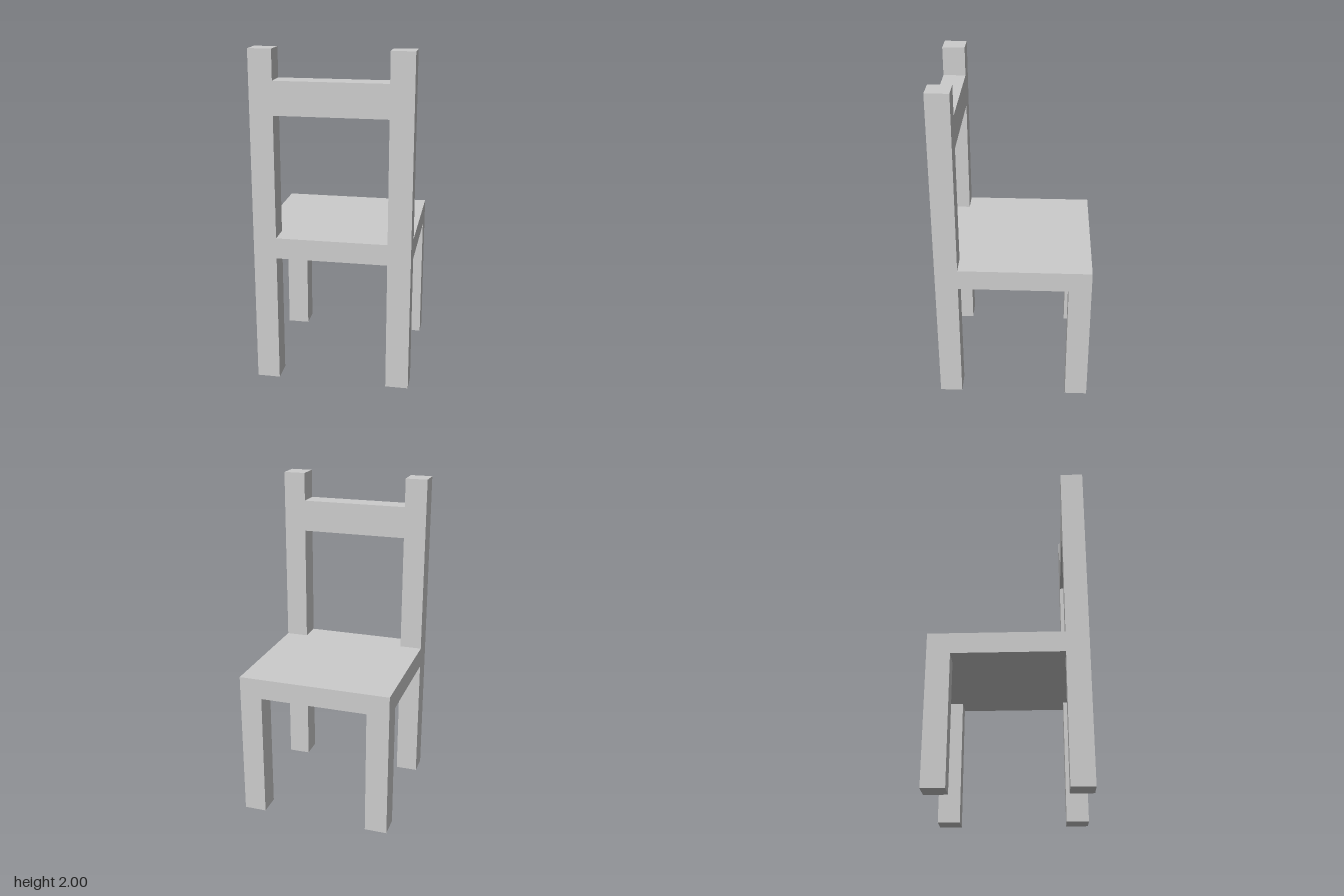
import * as THREE from 'three';

const HALF = 0.464;      // half width and depth of the chair
const LEG = 0.136;       // thickness of legs and posts
const SEAT_BOTTOM = 0.78;
const SEAT_TOP = 0.905;
const HEIGHT = 2;

export function createModel() {
  const chair = new THREE.Group();
  chair.name = 'chair';
  const material = new THREE.MeshStandardMaterial({ color: 0xcccccc, flatShading: true });

  // Box standing between two heights
  function addBox(name, width, depth, bottom, top, x, z) {
    const mesh = new THREE.Mesh(new THREE.BoxGeometry(width, top - bottom, depth), material);
    mesh.position.set(x, (bottom + top) / 2, z);
    mesh.name = name;
    chair.add(mesh);
  }

  const offset = HALF - LEG / 2;

  // Seat slab
  addBox('seat', HALF * 2, HALF * 2, SEAT_BOTTOM, SEAT_TOP, 0, 0);

  // Legs below the seat, posts of the backrest above it (on the +z side)
  for (const [side, x] of [['left', offset], ['right', -offset]]) {
    addBox(`${side}LegNearBackrest`, LEG, LEG, 0, SEAT_BOTTOM, x, offset);
    addBox(`${side}LegAwayFromBackrest`, LEG, LEG, 0, SEAT_BOTTOM, x, -offset);
    addBox(`${side}BackrestPost`, LEG, LEG, SEAT_TOP, HEIGHT, x, offset);
  }

  // Crossbar between the posts
  addBox('backrestRail', 2 * (HALF - LEG), LEG, 1.63, 1.825, 0, offset);

  return chair;
}
